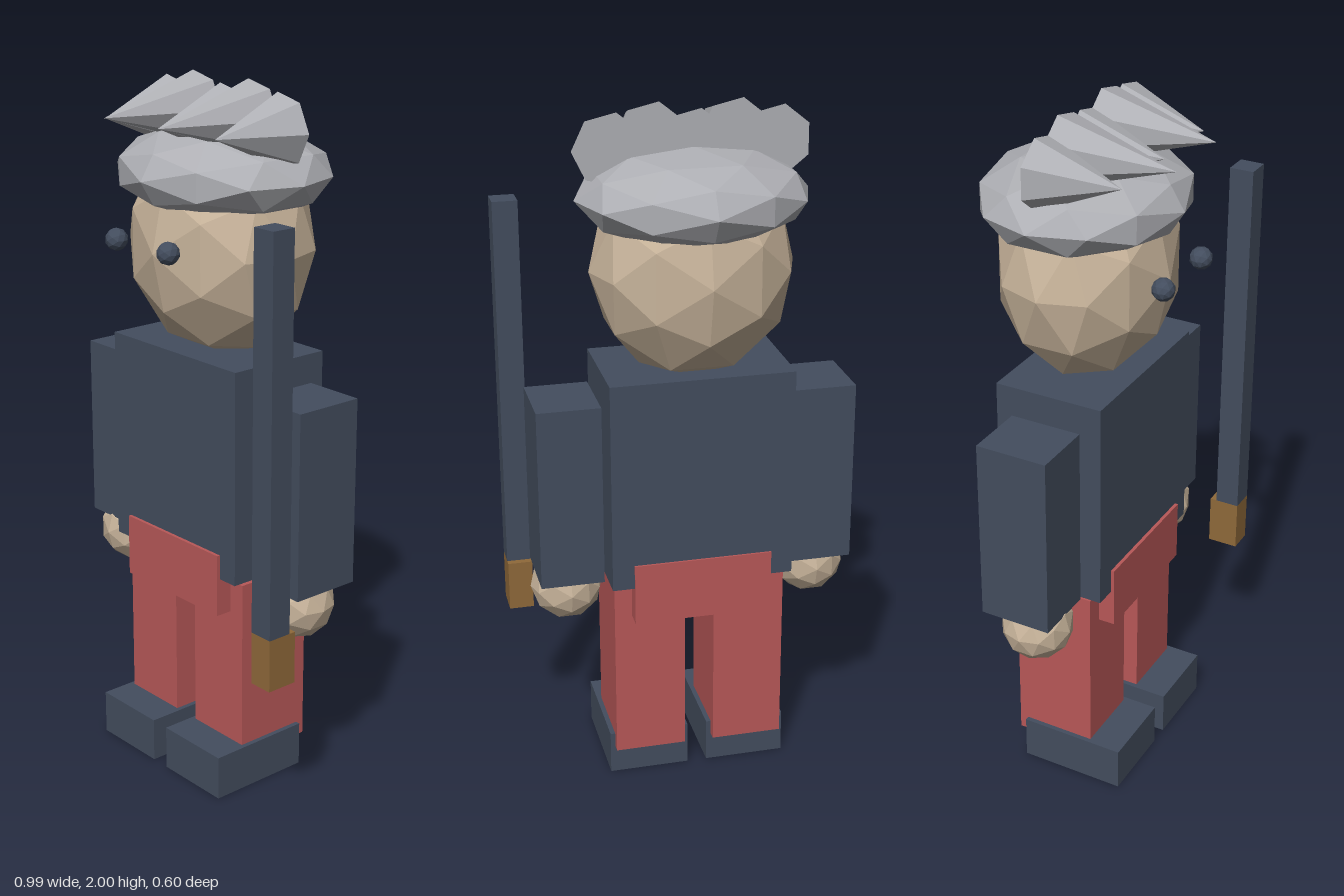
import * as THREE from 'three';

const mat = (name, color) => {
  const m = new THREE.MeshStandardMaterial({ color, flatShading: true });
  m.name = name;
  return m;
};

export function createModel() {
  const navy = mat('navy cloth', 0x434d5e);
  const red = mat('red cloth', 0xb85858);
  const skin = mat('skin', 0xc8b49b);
  const grey = mat('grey hair', 0xaeafb4);
  const brown = mat('brown grip', 0x8f693a);

  const model = new THREE.Group();
  const CX = -0.025; // body centre line

  const add = (name, geometry, material) => {
    const mesh = new THREE.Mesh(geometry, material);
    mesh.name = name;
    model.add(mesh);
    return mesh;
  };

  // box given by its [min, max] on each axis
  const box = (name, material, [x0, x1], [y0, y1], [z0, z1]) =>
    add(name, new THREE.BoxGeometry(x1 - x0, y1 - y0, z1 - z0), material)
      .position.set((x0 + x1) / 2, (y0 + y1) / 2, (z0 + z1) / 2);

  // faceted ball stretched to the given radii
  const ball = (name, material, [x, y, z], [rx, ry, rz]) => {
    const mesh = add(name, new THREE.IcosahedronGeometry(1, 1), material);
    mesh.position.set(x, y, z);
    mesh.scale.set(rx, ry, rz);
  };

  // torso and hips
  box('torso', navy, [CX - 0.263, CX + 0.263], [0.645, 1.262], [-0.153, 0.167]);
  box('hips', red, [CX - 0.2, CX + 0.2], [0.535, 0.717], [-0.159, 0.177]);

  // limbs on both sides
  for (const [side, s] of [['right', -1], ['left', 1]]) {
    const leg = CX + s * 0.147, arm = CX + s * 0.367;
    box(side + 'Leg', red, [leg - 0.104, leg + 0.104], [0.087, 0.63], [-0.111, 0.128]);
    box(side + 'Foot', navy, [leg - 0.118, leg + 0.118], [0, 0.13], [-0.085, 0.229]);
    box(side + 'Arm', navy, [arm - 0.091, arm + 0.091], [0.648, 1.183], [-0.098, 0.111]);
    ball(side + 'Hand', skin, [arm, 0.598, 0.025], [0.105, 0.105, 0.103]);
    ball(side + 'Eye', navy, [CX + s * 0.111, 1.574, 0.268], [0.032, 0.032, 0.032]);
  }

  // head and hair cap
  ball('head', skin, [CX, 1.545, -0.01], [0.288, 0.318, 0.243]);
  ball('hairCap', grey, [CX, 1.746, -0.017], [0.325, 0.13, 0.287]);

  // row of forward-pointing hair spikes, alternately short and long
  for (let i = 0; i < 5; i++) {
    const long = i % 2 === 1;
    const length = long ? 0.325 : 0.235;
    const cone = new THREE.ConeGeometry(0.1, length, 7, 1, false, Math.PI / 2);
    cone.rotateX(Math.PI / 2);
    add('hairSpike' + (i + 1), cone, grey)
      .position.set(CX + (i - 2) * 0.115, long ? 1.903 : 1.88, -0.026 + length / 2);
  }

  // sword held upright beside the left hand
  box('swordBlade', navy, [0.418, 0.49], [0.6, 1.7], [0.193, 0.264]);
  box('swordGrip', brown, [0.418, 0.49], [0.45, 0.6], [0.173, 0.264]);

  return model;
}
